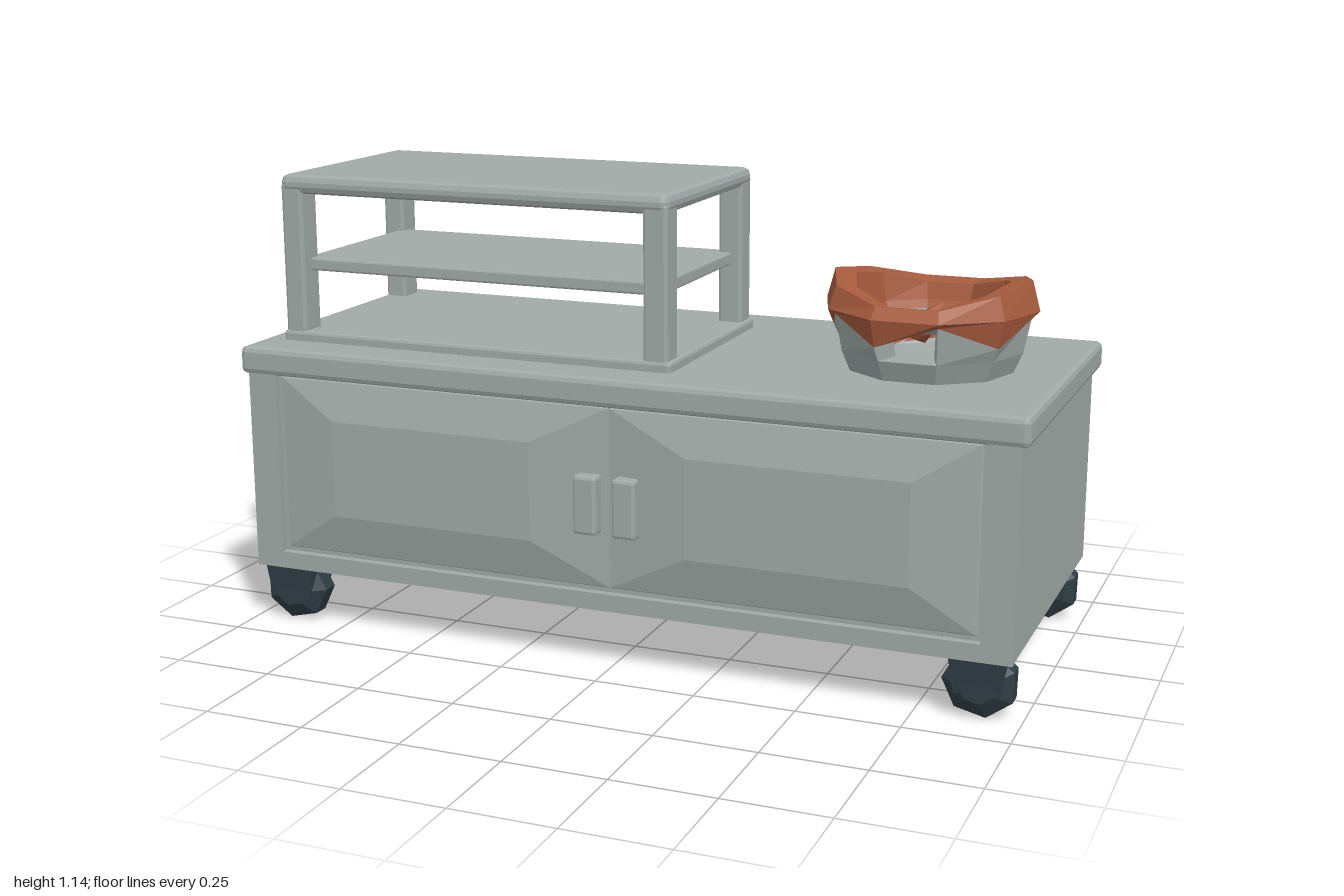
import * as THREE from 'three';
import { RoundedBoxGeometry } from 'three/addons/geometries/RoundedBoxGeometry.js';

const mat = (name, color) => Object.assign(new THREE.MeshStandardMaterial({ color }), { name });

// Faceted shading: every face gets its own normals
function flat(geo) {
  const g = geo.index ? geo.toNonIndexed() : geo;
  g.computeVertexNormals();
  return g;
}

// Lofts rings of equal length; windings face outward when rings run counter-clockwise
function quads(list) {
  const pos = [];
  for (const [a, b, c, d] of list) pos.push(...a, ...b, ...c, ...a, ...c, ...d);
  const g = new THREE.BufferGeometry();
  g.setAttribute('position', new THREE.Float32BufferAttribute(pos, 3));
  g.computeVertexNormals();
  return g;
}

export function createModel() {
  const grey = mat('paintedGrey', 0xa0aaa7);
  const brown = mat('copperBrown', 0xa65b3d);
  const dark = mat('darkSlate', 0x2f3e45);
  const greyOpen = grey;
  const root = new THREE.Group();
  root.name = 'servingCart';

  const add = (name, geo, material, parent = root) => {
    const m = new THREE.Mesh(geo, material);
    m.name = name;
    parent.add(m);
    return m;
  };
  // Chamfered box given by its limits on each axis
  const block = (name, [x0, x1], [y0, y1], [z0, z1], r, parent = root) => {
    const g = flat(new RoundedBoxGeometry(x1 - x0, y1 - y0, z1 - z0, 1, r));
    g.translate((x0 + x1) / 2, (y0 + y1) / 2, (z0 + z1) / 2);
    return add(name, g, grey, parent);
  };

  // Cabinet and worktop
  block('cabinetBody', [-0.98, 0.98], [0.145, 0.67], [-0.43, 0.4], 0.006);
  block('worktop', [-1, 1], [0.65, 0.72], [-0.445, 0.427], 0.014);

  // Frame around the doors
  const frame = new THREE.Shape([[-0.98, 0.147], [0.98, 0.147], [0.98, 0.66], [-0.98, 0.66]]
    .map(p => new THREE.Vector2(...p)));
  frame.holes.push(new THREE.Path([[-0.905, 0.19], [-0.905, 0.655], [0.905, 0.655], [0.905, 0.19]]
    .map(p => new THREE.Vector2(...p))));
  const frameGeo = new THREE.ExtrudeGeometry(frame, { depth: 0.025, bevelEnabled: false });
  frameGeo.translate(0, 0, 0.395);
  add('doorFrame', frameGeo, grey);

  // Doors with raised centre panels, and their handles
  const rect = (x0, x1, y0, y1, z) => [[x0, y0, z], [x1, y0, z], [x1, y1, z], [x0, y1, z]];
  for (const s of [-1, 1]) {
    const door = new THREE.Group();
    door.name = s > 0 ? 'leftDoor' : 'rightDoor';
    root.add(door);
    const span = (a, b) => (s > 0 ? [a, b] : [-b, -a]);
    const rings = [
      rect(...span(0.002, 0.895), 0.2, 0.65, 0.398),
      rect(...span(0.004, 0.89), 0.205, 0.645, 0.407),
      rect(...span(0.2, 0.74), 0.305, 0.55, 0.431),
    ];
    const list = [rings[2]];
    for (let k = 0; k < 2; k++) {
      for (let i = 0; i < 4; i++) {
        const j = (i + 1) % 4;
        list.push([rings[k][i], rings[k][j], rings[k + 1][j], rings[k + 1][i]]);
      }
    }
    add('doorPanel', quads(list), grey, door);
    block('handle', span(0.02, 0.08), [0.34, 0.485], [0.395, 0.446], 0.008, door);
  }

  // Open display case: base, four posts, shelf and roof
  const display = new THREE.Group();
  display.name = 'displayCase';
  root.add(display);
  block('caseBase', [-0.94, 0.118], [0.71, 0.745], [-0.28, 0.313], 0.008, display);
  for (const x of [[-0.935, -0.877], [0.045, 0.108]]) {
    for (const z of [[-0.275, -0.203], [0.235, 0.308]]) {
      block('post', x, [0.73, 1.12], z, 0.008, display);
    }
  }
  block('shelf', [-0.9, 0.08], [0.895, 0.927], [-0.24, 0.27], 0.005, display);
  block('roof', [-0.937, 0.11], [1.093, 1.141], [-0.277, 0.31], 0.018, display);

  // Faceted bowl with a vent at front and back and a dipping, thick rim
  const bowl = new THREE.Group();
  bowl.name = 'bowl';
  bowl.position.set(0.665, 0, 0.003);
  root.add(bowl);
  const N = 10;
  const ring = i => {
    const a = ((i % N) - 0.5) * Math.PI * 2 / N;
    const top = 0.895 + 0.05 * Math.sin(a) ** 2;
    const zig = i % 2 ? 0.025 : -0.03;
    const profile = [
      [0.2, 0.715], [0.224, 0.77], [0.242, 0.835 + zig], [0.26, 0.872], [0.24, top],
      [0.188, top - 0.008], [0.175, 0.85], [0.165, 0.83], [0.15, 0.77], [0.13, 0.75], [0, 0.748],
    ];
    return profile.map(([r, y]) => [r * Math.sin(a), y, r * Math.cos(a)]);
  };
  const wall = [], rim = [];
  for (let i = 0; i < N; i++) {
    const p = ring(i), q = ring(i + 1);
    for (let k = 0; k < p.length - 1; k++) {
      const vent = i % (N / 2) === 0 && (k === 1 || k === 7);
      if (vent) continue;
      (k >= 2 && k <= 6 ? rim : wall).push([p[k], q[k], q[k + 1], p[k + 1]]);
    }
    // Sill, lintel and jambs closing the wall thickness of each vent
    if (i % (N / 2) === 0) {
      wall.push([p[1], q[1], q[8], p[8]], [p[7], q[7], q[2], p[2]],
        [p[1], p[8], p[7], p[2]], [q[8], q[1], q[2], q[7]]);
    }
  }
  add('bowlWall', quads(wall), greyOpen, bowl);
  add('bowlRim', quads(rim), brown, bowl);

  // Broken pieces lying in the bowl: x, y, z, length, turn, tilt
  const pieces = [
    [-0.04, 0.815, -0.04, 0.09, 1.0, 0.3, brown],
    [-0.05, 0.815, 0.04, 0.08, -0.3, -0.2, brown],
    [0.01, 0.81, 0.02, 0.075, 0.6, 0.2, brown],
    [-0.01, 0.82, 0.1, 0.06, 1.4, -0.3, brown],
    [0.08, 0.79, -0.01, 0.06, 0.8, 0.3, grey],
  ];
  for (const [x, y, z, len, turn, tilt, m] of pieces) {
    const g = flat(new THREE.OctahedronGeometry(1));
    g.scale(len, 0.018, 0.04);
    const piece = add('piece', g, m, bowl);
    piece.position.set(x, y, z);
    piece.rotation.set(tilt, turn, tilt);
  }

  // Chunky faceted casters
  const wheelProfile = [[0, -0.05], [0.045, -0.05], [0.088, -0.02], [0.088, 0.022], [0.045, 0.05], [0, 0.05]]
    .map(p => new THREE.Vector2(...p));
  for (const sx of [-1, 1]) {
    for (const z of [0.355, -0.362]) {
      const caster = new THREE.Group();
      caster.name = 'caster';
      caster.position.set(sx * 0.897, 0, z);
      root.add(caster);
      const w = new THREE.LatheGeometry(wheelProfile, 7);
      w.rotateX(Math.PI / 2);
      w.rotateZ(0.2 * sx);
      w.translate(0, 0.086, 0);
      w.scale(1, 0.95, 1);
      add('wheel', flat(w), dark, caster);
      const b = new THREE.CylinderGeometry(0.085, 0.07, 0.09, 4);
      b.rotateY(Math.PI / 4);
      b.scale(1.1, 1, 0.95);
      b.translate(0, 0.105, 0);
      add('bracket', flat(b), dark, caster);
    }
  }
  return root;
}
